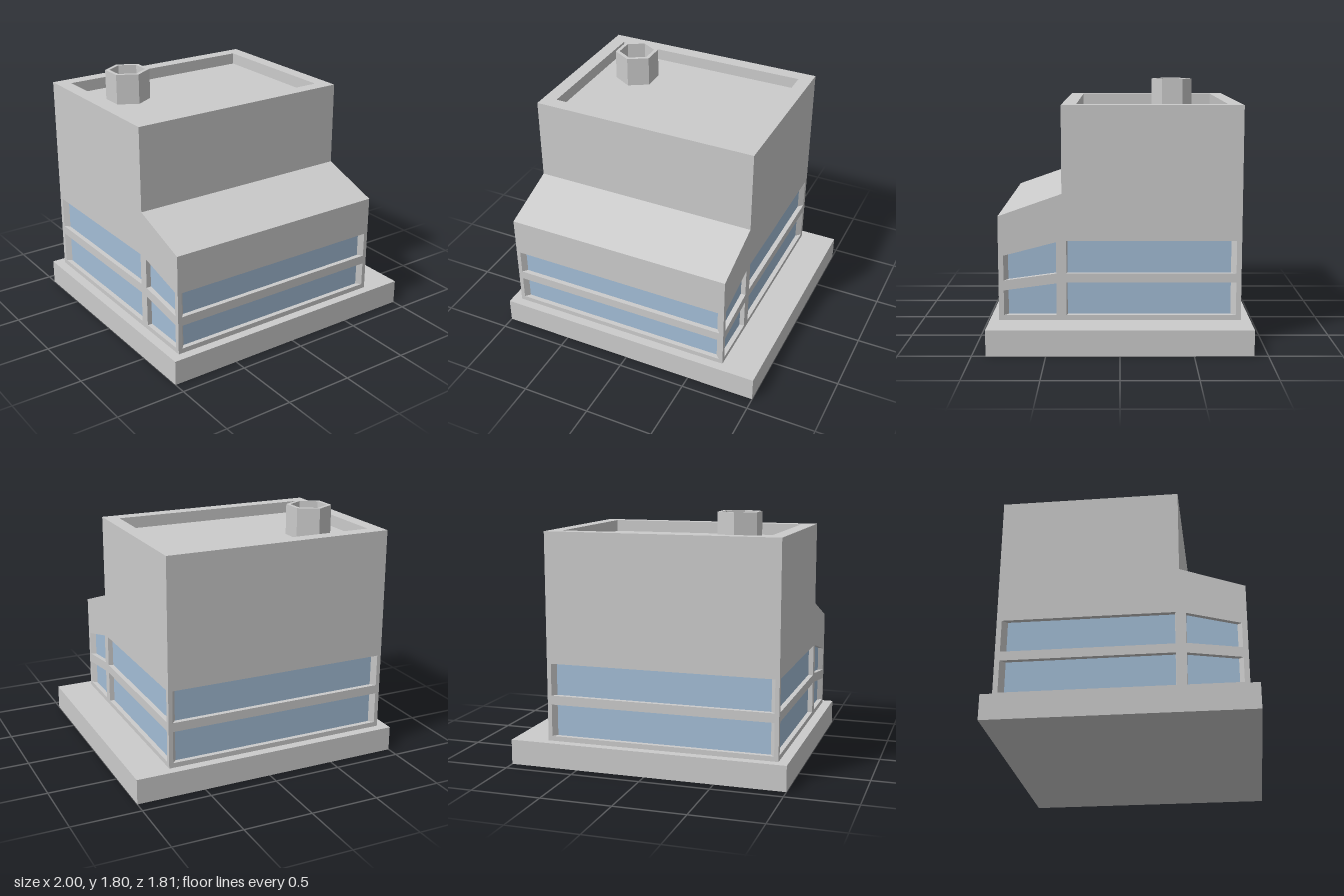
import * as THREE from 'three';

const grey = new THREE.MeshStandardMaterial({ color: 0xcccccc, flatShading: true });
const glassBlue = new THREE.MeshStandardMaterial({ color: 0xa3bdd6, flatShading: true });

const HW = 0.835, HD = 0.84;             // tower half width and half depth
const BASE = 0.18, ROOF = 1.585, TOP = 1.67;
const STEP_Z = 0.4, STEP_LOW = 0.91, STEP_HIGH = 1.065;
const RECESS = 0.035;

function add(parent, name, geometry, material = grey) {
  const mesh = new THREE.Mesh(geometry, material);
  mesh.name = name;
  parent.add(mesh);
  return mesh;
}

// Flat four-sided faces, corners counter-clockwise
function quads(list) {
  const pos = [];
  for (const [a, b, c, d] of list) pos.push(...a, ...b, ...c, ...a, ...c, ...d);
  const g = new THREE.BufferGeometry();
  g.setAttribute('position', new THREE.Float32BufferAttribute(pos, 3));
  g.computeVertexNormals();
  return g;
}

const toShape = (pts) => new THREE.Shape(pts.map(([x, y]) => new THREE.Vector2(x, y)));

const rect = (x0, x1, y0, y1) => [[x0, y0], [x1, y0], [x1, y1], [x0, y1]];

// Window: ends u0/u1, bottom and top at each end, reveal splay at each end
function win(u0, u1, b0, t0, b1 = b0, t1 = t0, s0 = 0.03, s1 = 0.03) {
  return { u0, u1, b0, t0, b1, t1, s0, s1 };
}

const mirrorWin = (w) => win(-w.u1, -w.u0, w.b1, w.t1, w.b0, w.t0, w.s1, w.s0);

// Wall in its own xy plane facing +z, with recessed windows
function wall(name, outline, windows) {
  const group = new THREE.Group();
  group.name = name;
  const shape = toShape(outline);
  const reveals = [], panes = [];
  for (const w of windows) {
    const at = (a, b, u) => a + (b - a) * (u - w.u0) / (w.u1 - w.u0);
    const corners = (l, r, z) => [
      [l, at(w.b0, w.b1, l), z], [r, at(w.b0, w.b1, r), z],
      [r, at(w.t0, w.t1, r), z], [l, at(w.t0, w.t1, l), z],
    ];
    const o = corners(w.u0, w.u1, 0);
    const n = corners(w.u0 + w.s0, w.u1 - w.s1, -RECESS);
    shape.holes.push(toShape(o));
    for (let i = 0; i < 4; i++) {
      const j = (i + 1) % 4;
      reveals.push([o[i], o[j], n[j], n[i]]);
    }
    panes.push(n);
  }
  add(group, name + 'Panel', new THREE.ShapeGeometry(shape));
  add(group, name + 'Reveals', quads(reveals));
  add(group, name + 'Glass', quads(panes), glassBlue);
  return group;
}

function extrudeUp(shape, depth) {
  return new THREE.ExtrudeGeometry(shape, { depth, bevelEnabled: false }).rotateX(-Math.PI / 2);
}

export function createModel() {
  const model = new THREE.Group();
  model.name = 'building';

  // Ground slab
  add(model, 'baseSlab', new THREE.BoxGeometry(2, BASE, 1.81)).position.y = BASE / 2;

  const tower = new THREE.Group();
  tower.name = 'tower';
  tower.position.x = -0.095;
  model.add(tower);

  // Front and back walls with two window bands each
  const front = wall('frontWall', rect(-HW, HW, BASE, STEP_LOW),
    [win(-0.805, 0.805, 0.215, 0.39), win(-0.805, 0.805, 0.455, 0.635)]);
  front.position.z = HD;
  const back = wall('backWall', rect(-HW, HW, BASE, ROOF),
    [win(-0.805, 0.805, 0.215, 0.445), win(-0.805, 0.805, 0.51, 0.74)]);
  back.position.z = -HD;
  back.rotation.y = Math.PI;
  tower.add(front, back);

  // Side walls, stepped at the front, mirrored
  const profile = [[-HD, BASE], [HD, BASE], [HD, ROOF], [-STEP_Z, ROOF],
    [-STEP_Z, STEP_HIGH], [-HD, STEP_LOW]];
  const sideWindows = [
    win(-0.805, -0.44, 0.215, 0.39, 0.215, 0.44, 0.03, 0),
    win(-0.805, -0.44, 0.46, 0.635, 0.51, 0.73, 0.03, 0),
    win(-0.37, 0.805, 0.215, 0.445, 0.215, 0.445, 0.006, 0.035),
    win(-0.37, 0.805, 0.51, 0.74, 0.51, 0.74, 0.006, 0.035),
  ];
  const left = wall('leftWall', profile, sideWindows);
  left.position.x = HW;
  left.rotation.y = Math.PI / 2;
  const right = wall('rightWall', profile.map(([u, v]) => [-u, v]).reverse(),
    sideWindows.map(mirrorWin));
  right.position.x = -HW;
  right.rotation.y = -Math.PI / 2;
  tower.add(left, right);

  // Sloping lower roof and the upper front wall behind it
  add(tower, 'slopingRoof', quads([[
    [-HW, STEP_LOW, HD], [HW, STEP_LOW, HD], [HW, STEP_HIGH, STEP_Z], [-HW, STEP_HIGH, STEP_Z],
  ]]));
  add(tower, 'upperFrontWall', quads([[
    [-HW, STEP_HIGH, STEP_Z], [HW, STEP_HIGH, STEP_Z], [HW, ROOF, STEP_Z], [-HW, ROOF, STEP_Z],
  ]]));

  // Flat roof inside a parapet
  add(tower, 'roofDeck', quads([[
    [-HW, ROOF, STEP_Z], [HW, ROOF, STEP_Z], [HW, ROOF, -HD], [-HW, ROOF, -HD],
  ]]));
  const rim = toShape(rect(-HW, HW, -STEP_Z, HD));
  rim.holes.push(toShape(rect(-HW + 0.1, HW - 0.1, -STEP_Z + 0.1, HD - 0.1)));
  add(tower, 'parapet', extrudeUp(rim, TOP - ROOF)).position.y = ROOF;

  // Hollow six-sided chimney
  const hexagon = (r) => Array.from({ length: 6 }, (_, i) => {
    const a = Math.PI / 2 + i * Math.PI / 3;
    return [r * Math.cos(a), r * Math.sin(a)];
  });
  const ring = toShape(hexagon(0.16));
  ring.holes.push(toShape(hexagon(0.13)));
  add(model, 'chimney', extrudeUp(ring, 1.805 - ROOF)).position.set(-0.54, ROOF, -0.41);

  return model;
}
